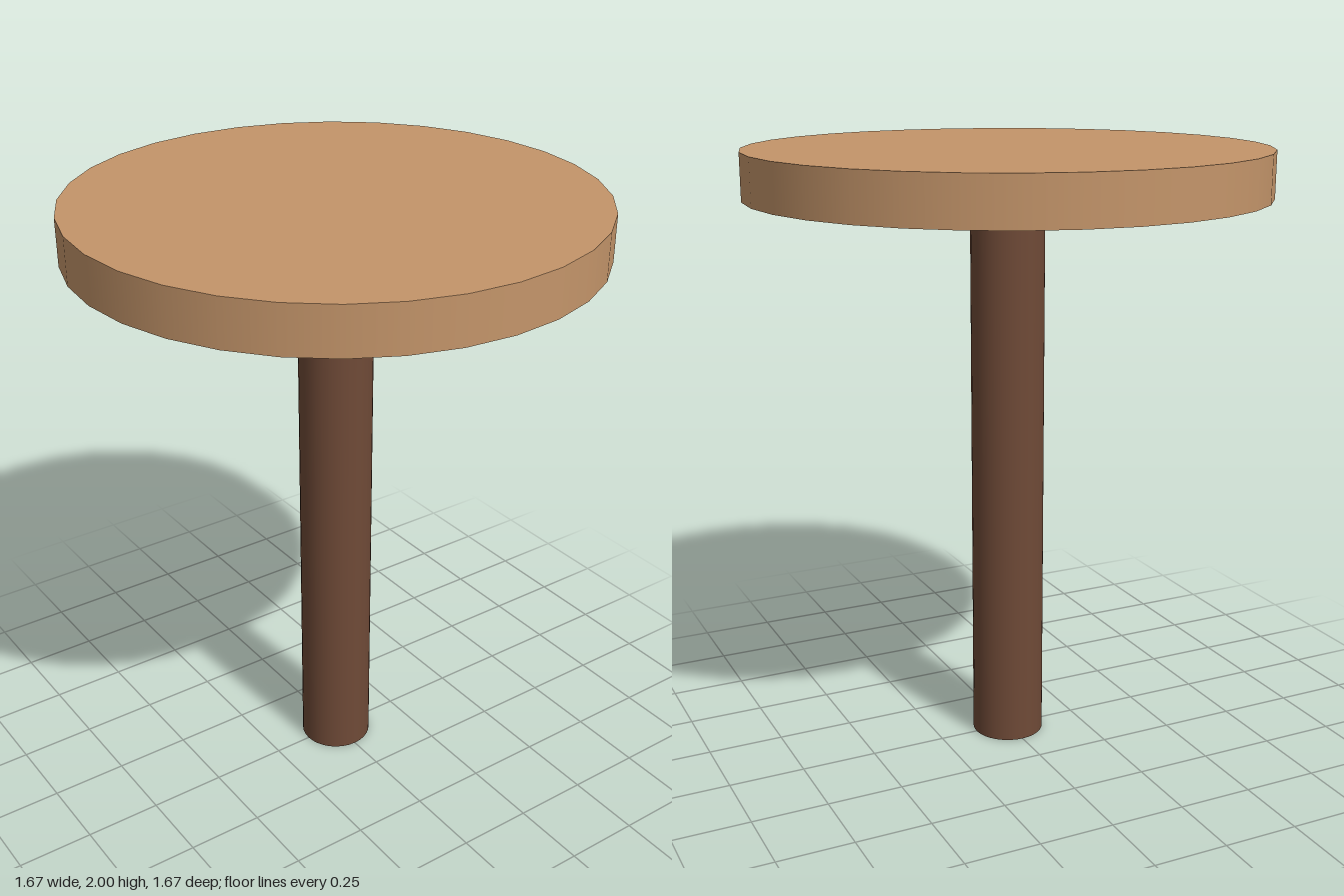
import * as THREE from 'three';

const HEIGHT = 2;
const TOP_THICKNESS = 0.15;
const SIDES = 32;

export function createModel() {
  const lightWood = new THREE.MeshStandardMaterial({ color: 0xc4956a });
  lightWood.name = 'lightWood';
  const darkWood = new THREE.MeshStandardMaterial({ color: 0x6f4a37 });
  darkWood.name = 'darkWood';

  const table = new THREE.Group();
  table.name = 'roundTable';

  // Upright round part, standing on the given base height
  const addRound = (name, radius, height, baseY, material) => {
    const mesh = new THREE.Mesh(new THREE.CylinderGeometry(radius, radius, height, SIDES), material);
    mesh.name = name;
    mesh.position.y = baseY + height / 2;
    table.add(mesh);
  };

  // Central leg and the disc it carries
  addRound('leg', 0.12, HEIGHT - TOP_THICKNESS, 0, darkWood);
  addRound('tableTop', 0.835, TOP_THICKNESS, HEIGHT - TOP_THICKNESS, lightWood);

  return table;
}
